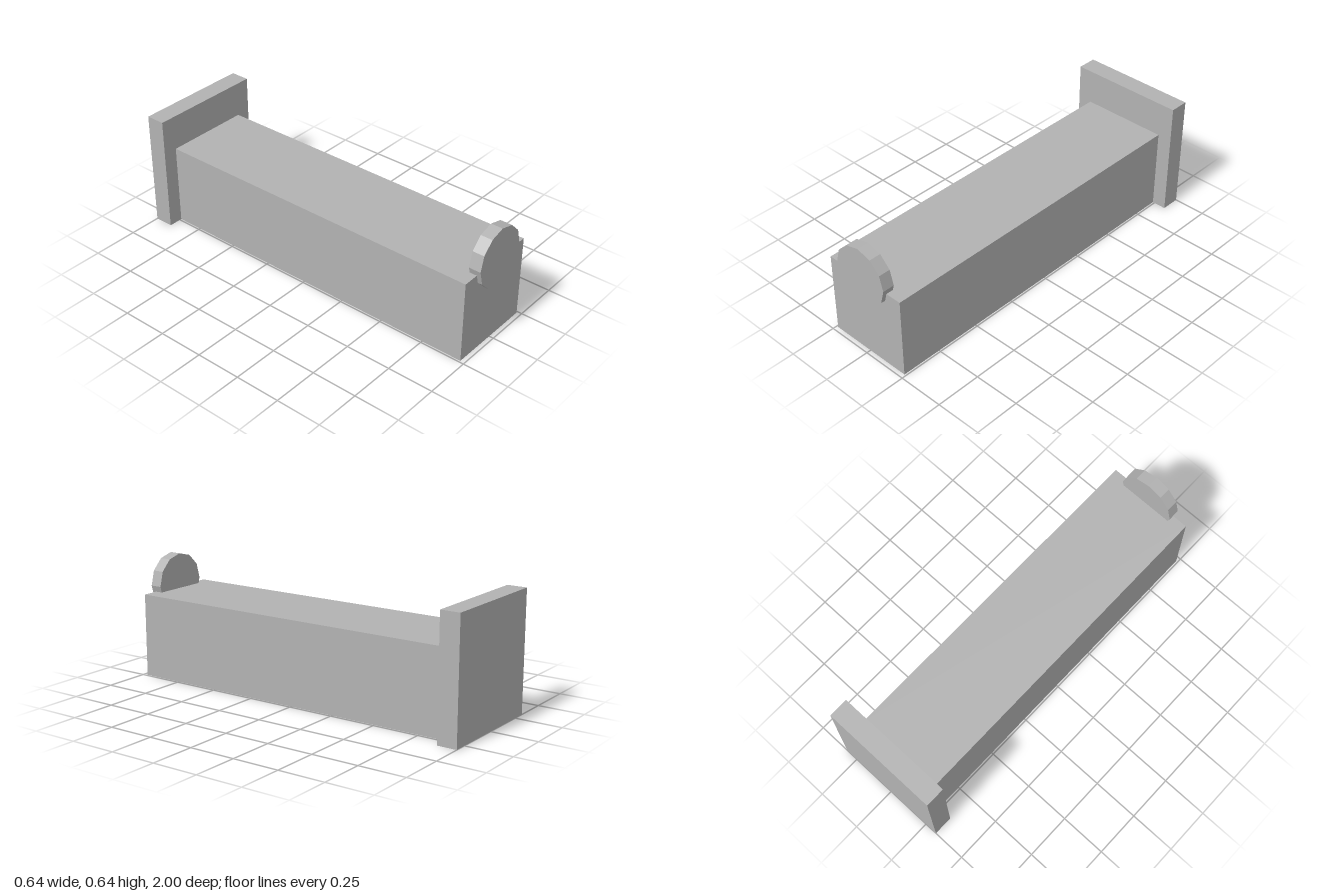
import * as THREE from 'three';

export function createModel() {
  const model = new THREE.Group();
  const grey = new THREE.MeshStandardMaterial({ color: 0xb2b2b2, flatShading: true });
  grey.name = 'plain grey';

  const add = (name, geometry, y, z) => {
    const mesh = new THREE.Mesh(geometry, grey);
    mesh.name = name;
    mesh.position.set(0, y, z);
    model.add(mesh);
  };
  // Box standing on the ground between two depths
  const addBlock = (name, width, height, back, front) =>
    add(name, new THREE.BoxGeometry(width, height, front - back), height / 2, (back + front) / 2);

  // Long block and the upright plate closing its back end
  addBlock('body', 0.48, 0.448, -0.895, 0.976);
  addBlock('backPlate', 0.64, 0.64, -1, -0.895);

  // Twelve-sided disc set into the front face
  const disc = new THREE.CylinderGeometry(0.16, 0.16, 0.064, 12).rotateX(Math.PI / 2);
  add('frontDisc', disc, 0.48, 0.968);

  return model;
}
